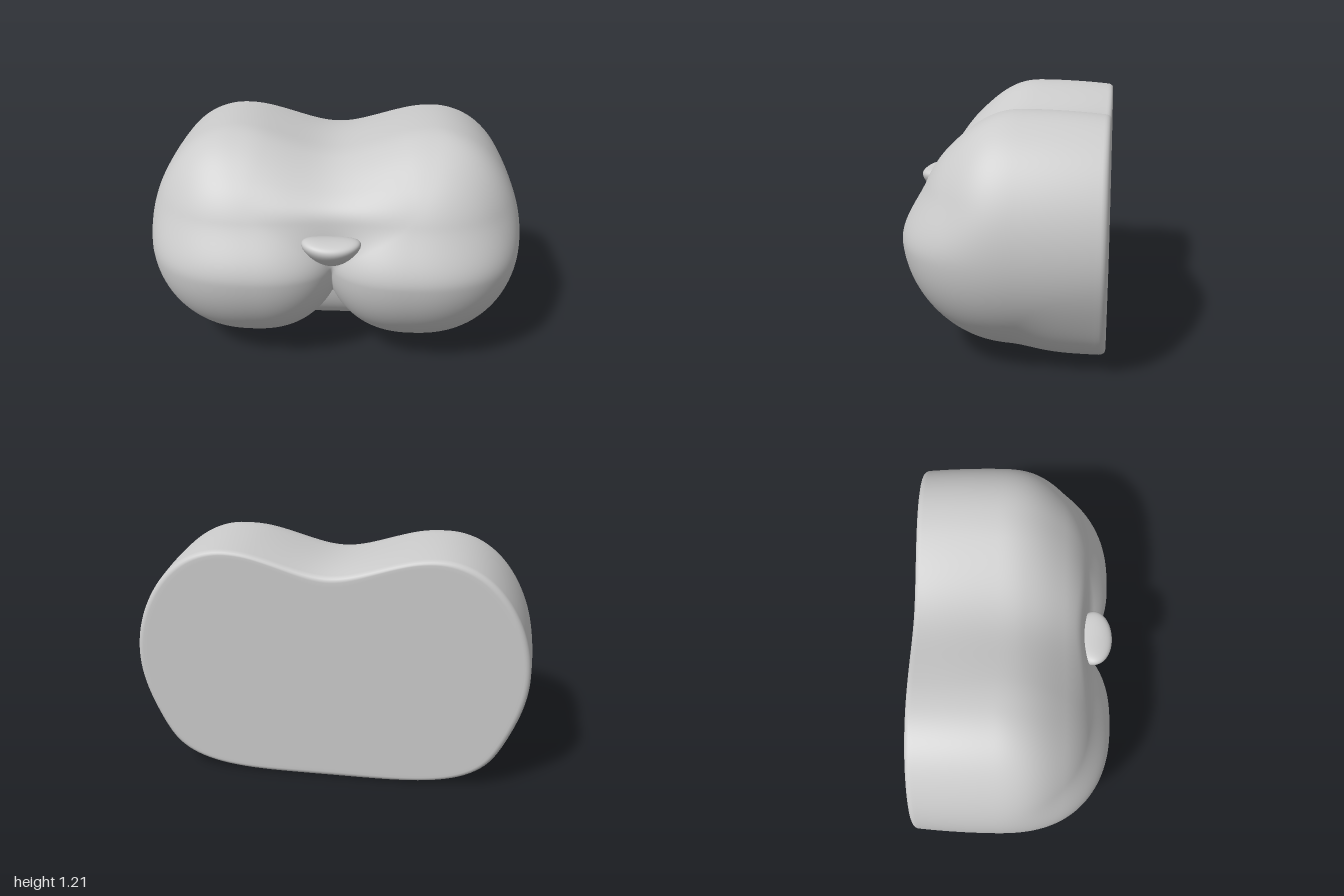
import * as THREE from 'three';
import { mergeVertices } from 'three/addons/utils/BufferGeometryUtils.js';

const step = THREE.MathUtils.smoothstep;
const material = new THREE.MeshStandardMaterial({ color: 0xcccccc });
const CY = 0.62, CZ = -0.475; // point the surface is cast from

// Smooth minimum of two distance-like values
function blend(a, b, k) {
  const h = Math.max(k - Math.abs(a - b), 0) / k;
  return Math.min(a, b) - h * h * k / 4;
}

// One cheek: a full ellipsoid in front, a slightly tapering tube behind
function cheek(x, y, z) {
  const dy = (y - 0.63) / (y > 0.63 ? 0.59 : 0.58);
  // the axis leans outwards at the top and inwards at the front
  const up = 0.06 * step(y, 0.7, 1.2);
  const cx = 0.46 + up - 0.06 * step(z, 0.05, 0.5);
  const dx = Math.abs(x - cx) / (x > cx ? 1 - cx : 0.54 + up);
  // the upper front leans back
  const lean = 0.075 * step(y, 0.58, 0.87) * step(z, -0.1, 0.25);
  const dz = z + 0.1 + lean;
  if (dz > 0) {
    const flat = (dx ** 2.4 + (dz / 0.61) ** 2.4) ** (1 / 2.4);
    return Math.hypot(flat, dy) - 1;
  }
  return Math.hypot(dx, dy) / (1 - 0.035 * (dz / 0.4) ** 2) - 1;
}

// Chin: squarish block that rounds up towards the front
function chin(x, y, z) {
  const dy = (y - CY) / (y > CY ? 0.42 : 0.615);
  return ((x / 0.9) ** 4 + dy ** 4 + ((z + 0.5) / 0.55) ** 4) ** 0.25 - 1;
}

// Cheeks melt into a bridge on top and meet in a crease below
function body(x, y, z) {
  const k = 0.01 + (0.75 + 0.08 * step(-z, 0, 0.45)) * step(y, 0.55, 0.95);
  const cheeks = blend(cheek(x, y, z), cheek(-x, y, z), k);
  return blend(cheeks, chin(x, y, z), 0.005 + 0.075 * step(Math.abs(x), 0.4, 0.75));
}

// Distance from the centre to the surface along a direction
function cast(dx, dy, dz) {
  let lo = 0, hi = 1.8;
  for (let i = 0; i < 26; i++) {
    const m = (lo + hi) / 2;
    if (body(dx * m, CY + dy * m, CZ + dz * m) < 0) lo = m; else hi = m;
  }
  return lo;
}

function muzzleGeometry() {
  const around = 240, rings = 110, bevel = 5, R = 0.03;
  const pos = [], index = [];
  const rows = rings + bevel + 2;
  for (let j = 0; j <= rows; j++) {
    for (let i = 0; i < around; i++) {
      const phi = (i / around) * Math.PI * 2;
      const c = Math.cos(phi), s = Math.sin(phi);
      let r, z;
      if (j <= rings) {
        const t = (j / rings) * Math.PI / 2;
        const d = cast(Math.sin(t) * c, Math.sin(t) * s, Math.cos(t));
        r = d * Math.sin(t);
        z = CZ + d * Math.cos(t);
      } else {
        // rounded rim, then the flat back
        const a = Math.min((j - rings) / bevel, 1) * Math.PI / 2;
        r = cast(c, s, 0) - R * (1 - Math.cos(a));
        z = CZ - R * Math.sin(a);
        if (j === rows - 1) r -= 0.02;
        if (j === rows) r = 0;
      }
      const y = CY + r * s;
      if (j >= rings) z -= 0.006 * (1 - y / 1.2);
      pos.push(r * c, y, z);
    }
  }
  for (let j = 0; j < rows; j++) {
    for (let i = 0; i < around; i++) {
      const n = (i + 1) % around;
      const a = j * around + i, b = a + around;
      const d = j * around + n, e = d + around;
      if (j < rows - 1) index.push(a, b, e);
      else index.push(a, b, d);
      if (j > 0 && j < rows - 1) index.push(a, e, d);
    }
  }
  const g = new THREE.BufferGeometry();
  g.setAttribute('position', new THREE.Float32BufferAttribute(pos, 3));
  g.setIndex(index);
  const merged = mergeVertices(g, 1e-5);
  merged.computeVertexNormals();
  return merged;
}

// Nose: a sphere reshaped into a plump rounded triangle, point down
function noseGeometry() {
  let g = new THREE.SphereGeometry(1, 48, 48);
  g.deleteAttribute('uv');
  g.deleteAttribute('normal');
  const p = g.attributes.position;
  for (let i = 0; i < p.count; i++) {
    const u = THREE.MathUtils.clamp(p.getY(i), -1, 1);
    const t = (u + 1) / 2;
    const a = Math.atan2(p.getZ(i), p.getX(i));
    const round = Math.sqrt(Math.max(0, 1 - Math.abs(u) ** 3));
    const depth = Math.sqrt(t);
    const x = 0.195 * t ** 0.7 * round * Math.cos(a);
    const z = 0.3 + 0.13 * depth + 0.12 * depth * round * Math.sin(a);
    p.setXYZ(i, x, 0.717 + 0.1 * u + 0.025 * t * (x / 0.15) ** 2, z);
  }
  g = mergeVertices(g, 1e-5);
  g.computeVertexNormals();
  return g;
}

export function createModel() {
  const group = new THREE.Group();
  group.name = 'snout';
  const muzzle = new THREE.Mesh(muzzleGeometry(), material);
  muzzle.name = 'muzzle';
  const nose = new THREE.Mesh(noseGeometry(), material);
  nose.name = 'nose';
  group.add(muzzle, nose);
  return group;
}
